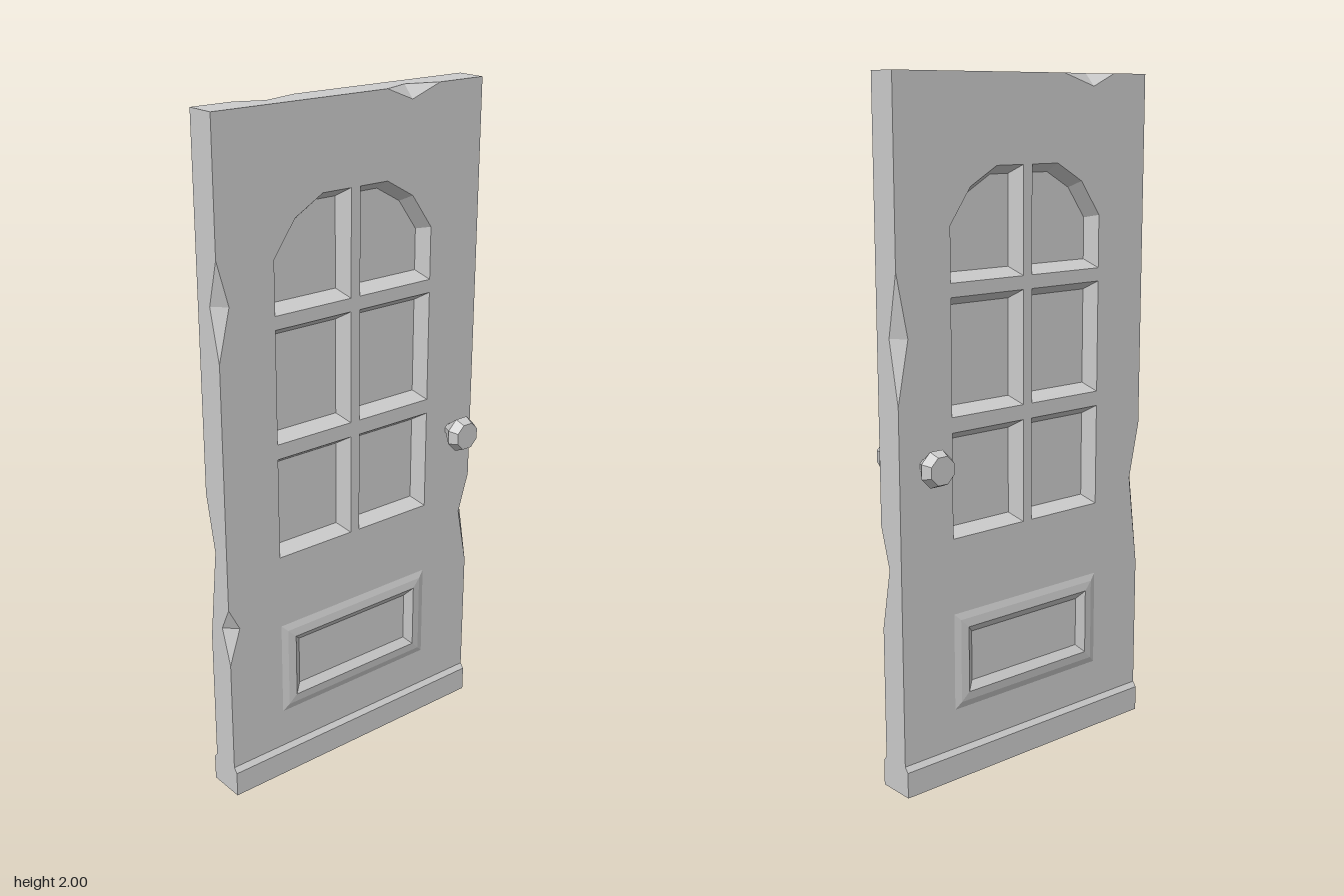
import * as THREE from 'three';

const W = 0.458, H = 2, T = 0.045, B = 0.092; // half width, height, half thickness, base top
const CHIP_IN = 0.036, CHIP_Z = 0.01;
const mat = new THREE.MeshStandardMaterial({ color: 0xcccccc, flatShading: true });

function mesh(name, geometry) {
  const m = new THREE.Mesh(geometry, mat);
  m.name = name;
  return m;
}

function fromTriangles(points) {
  const g = new THREE.BufferGeometry().setFromPoints(points);
  g.computeVertexNormals();
  return g;
}

const at = (p, z) => new THREE.Vector3(p.x, p.y, z);
const V = (x, y) => new THREE.Vector2(x, y);

// Shrink a convex counter-clockwise outline by d
function inset(loop, d) {
  const n = loop.length;
  const inward = (a, b) => { const e = b.clone().sub(a).normalize(); return V(-e.y, e.x); };
  return loop.map((p, i) => {
    const n1 = inward(loop[(i + n - 1) % n], p), n2 = inward(p, loop[(i + 1) % n]);
    return n1.clone().add(n2).multiplyScalar(d / (1 + n1.dot(n2))).add(p);
  });
}

// Stepped relief: rings of [inset, z], closed by a flat floor
function relief(outline, steps) {
  const tris = [];
  const rings = steps.map(([d, z]) => inset(outline, d).map(p => at(p, z)));
  for (let k = 0; k + 1 < rings.length; k++) {
    const o = rings[k], r = rings[k + 1];
    o.forEach((p, i) => {
      const j = (i + 1) % o.length;
      tris.push(p, o[j], r[j], p, r[j], r[i]);
    });
  }
  const f = rings[rings.length - 1];
  for (let i = 1; i + 1 < f.length; i++) tris.push(f[0], f[i], f[i + 1]);
  return fromTriangles(tris);
}

const rect = (x0, y0, x1, y1) => [V(x0, y0), V(x1, y0), V(x1, y1), V(x0, y1)];
const mirror = loop => loop.map(p => V(-p.x, p.y)).reverse();

// Window openings of the right column; mirrored for the other
const column = [
  rect(0.016, 0.727, 0.276, 1.032),
  rect(0.016, 1.076, 0.276, 1.407),
  [V(0.016, 1.446), V(0.276, 1.446), V(0.276, 1.6), V(0.205, 1.7), V(0.112, 1.753), V(0.016, 1.753)],
];
const panes = [...column, ...column.map(mirror)];
const panelOutline = rect(-0.276, 0.212, 0.276, 0.503);

// Half of the door slab; chips are [edge, start, apex, end] along that edge
function doorHalf(name, chips, knobX) {
  const half = new THREE.Group();
  half.name = name;
  const corners = rect(-W, B, W, H);
  const outline = [], walls = [], chipTris = [];

  corners.forEach((c, e) => {
    const next = corners[(e + 1) % 4];
    const dir = next.clone().sub(c).normalize(), inward = V(-dir.y, dir.x);
    const along = t => c.clone().addScaledVector(dir, t);
    const rim = [at(c, T)];
    outline.push(c);
    for (const [edge, a, m, b] of chips) {
      if (edge !== e) continue;
      const pa = along(a), pb = along(b), pf = along(m).addScaledVector(inward, CHIP_IN);
      const s = at(along(m), CHIP_Z);
      outline.push(pa, pf, pb);
      rim.push(at(pa, T), s, at(pb, T));
      chipTris.push(at(pa, T), s, at(pf, T), s, at(pb, T), at(pf, T));
    }
    rim.push(at(next, T));
    if (e === 0) return; // hidden by the base board
    for (let i = 0; i + 1 < rim.length; i++) {
      const p = rim[i], q = rim[i + 1];
      walls.push(at(p, 0), at(q, 0), q, at(p, 0), q, p);
    }
  });

  // Face with openings for the windows and the panel
  const shape = new THREE.Shape(outline);
  for (const loop of [...panes, panelOutline]) shape.holes.push(new THREE.Path(loop));
  half.add(mesh('face', new THREE.ShapeGeometry(shape).translate(0, 0, T)));
  half.add(mesh('edges', fromTriangles(walls)));
  half.add(mesh('chips', fromTriangles(chipTris)));

  // Bevelled window panes
  for (const loop of panes) half.add(mesh('windowPane', relief(loop, [[0, T], [0.025, 0.007]])));

  // Raised moulding with sunken centre
  half.add(mesh('lowerPanel', relief(panelOutline,
    [[0, T], [0.02, 0.051], [0.046, 0.054], [0.07, 0.036]])));

  // Eight-sided knob
  const knob = new THREE.LatheGeometry(
    [V(0.019, 0), V(0.019, 0.003), V(0.055, 0.051), V(0.042, 0.08), V(0, 0.08)], 8, Math.PI / 8);
  half.add(mesh('knob', knob.rotateX(Math.PI / 2).translate(knobX, 0.957, T)));
  return half;
}

export function createModel() {
  const door = new THREE.Group();
  door.name = 'door';

  door.add(doorHalf('frontHalf', [
    [1, 0.39, 0.57, 0.69],
    [2, 0.16, 0.26, 0.35],
    [3, 0.37, 0.5, 0.65],
    [3, 1.38, 1.45, 1.56],
  ], 0.372));

  const back = doorHalf('backHalf', [
    [1, 0.41, 0.69, 0.86],
    [2, 0.128, 0.208, 0.323],
    [3, 0.51, 0.69, 0.87],
  ], -0.372);
  back.rotation.y = Math.PI;
  door.add(back);

  // Base board with chamfered top, extruded across the width
  const profile = new THREE.Shape([
    V(-0.057, 0), V(0.057, 0), V(0.057, 0.077), V(T, B), V(-T, B), V(-0.057, 0.077)]);
  const base = new THREE.ExtrudeGeometry(profile, { depth: 2 * W, bevelEnabled: false });
  door.add(mesh('baseBoard', base.translate(0, 0, -W).rotateY(Math.PI / 2)));
  return door;
}
